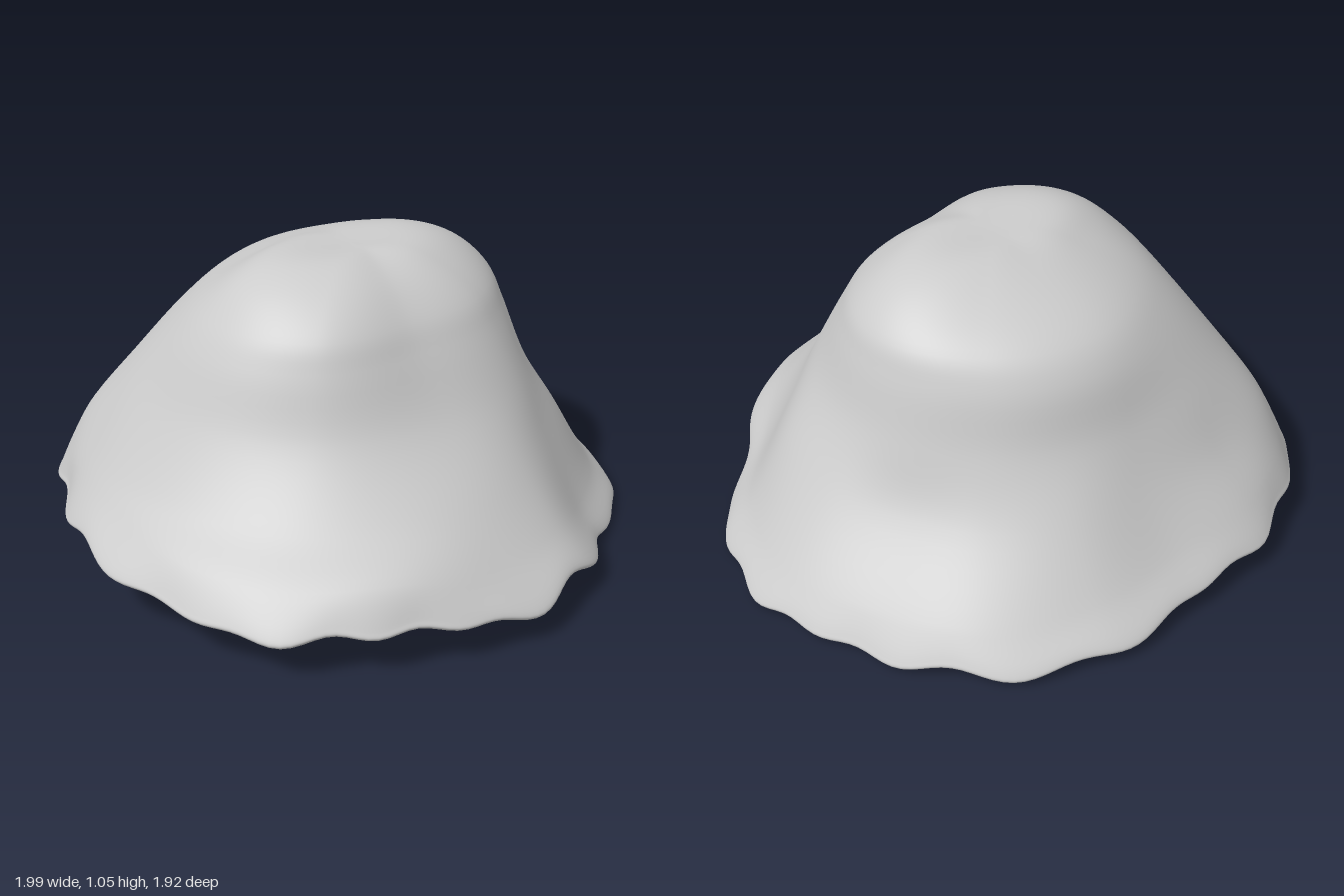
import * as THREE from 'three';
import { mergeVertices } from 'three/addons/utils/BufferGeometryUtils.js';

// Radii by height, at eight compass angles: +x, +x+z, +z, -x+z, -x, -x-z, -z, +x-z
// (rows of sixteen values use half steps of the same circle).
const CROWN = [
  [1.055, [0.26, 0.19, 0.12, 0.20, 0.27, 0.17, 0.11, 0.17]],
  [1.0, [0.41, 0.31, 0.25, 0.35, 0.41, 0.30, 0.29, 0.33]],
  [0.9, [0.52, 0.43, 0.36, 0.47, 0.52, 0.47, 0.49, 0.49]],
  [0.8, [0.56, 0.49, 0.42, 0.52, 0.59, 0.58, 0.57, 0.55]],
  [0.6, [0.62, 0.59, 0.53, 0.60, 0.69, 0.75, 0.64, 0.61]],
  [0.4, [0.73, 0.73, 0.68, 0.69, 0.71, 0.74, 0.77, 0.79, 0.82, 0.86, 0.91, 0.81, 0.73, 0.73, 0.71, 0.69]],
];
const BRIM = [0.91, 0.87, 0.80, 0.82, 0.86, 0.90, 0.93, 0.92, 0.89, 0.92, 0.98, 0.93, 0.85, 0.89, 0.92, 0.90];
// Rim radius and height
const RIM = [0.99, 0.96, 0.88, 0.92, 0.965, 0.96, 1.02, 0.99, 0.99, 0.97, 1.03, 1.0, 0.94, 0.99, 1.0, 0.97];
const RIM_Y = [0.035, 0.025, 0.04, 0.12, 0.12, 0.17, 0.16, 0.17, 0.2, 0.18, 0.15, 0.12, 0.085, 0.055, 0.045, 0.035];

// Smooth periodic interpolation of a row around the circle
function around(row, a) {
  const n = row.length;
  const u = (a / (Math.PI * 2)) * n;
  const i = Math.floor(u);
  const t = u - i;
  const [p, q, r, s] = [-1, 0, 1, 2].map((k) => row[(i + k + n) % n]);
  return q + 0.5 * t * (r - p + t * (2 * p - 5 * q + 4 * r - s + t * (3 * (q - r) + s - p)));
}

// One radial section: crown centre, down the side, round the lip, back under to the centre
function section(a) {
  const points = [];
  const add = (r, y) => points.push(new THREE.Vector3(r * Math.cos(a), y, r * Math.sin(a)));
  const ripple = 0.6 * Math.sin(19 * a + 1.2 * Math.sin(3 * a)) + 0.4 * Math.sin(13 * a + 1);
  const rim = around(RIM, a) + 0.013 * ripple;
  const y = around(RIM_Y, a) - 0.015 * ripple;
  const underside = (r) => 0.107 + r * (0.025 * Math.sin(a) - 0.08 * Math.cos(a));

  add(0, 1.055);
  for (const [h, row] of CROWN) add(around(row, a), h);
  add(around(BRIM, a), around(RIM_Y, a) + 0.12);
  add(rim - 0.008, y + 0.025);
  add(rim, y + 0.005);
  add(rim - 0.02, y - 0.01);
  add(rim - 0.05, y + 0.005);
  for (const f of [0.82, 0.5, 0.25]) add(rim * f, underside(rim * f));
  add(0, underside(0));
  return new THREE.CatmullRomCurve3(points, false, 'centripetal').getPoints(84);
}

export function createModel() {
  const SIDES = 192;
  const vertices = [];
  const index = [];
  let rows = 0;
  for (let i = 0; i < SIDES; i++) {
    const column = section((i / SIDES) * Math.PI * 2);
    rows = column.length;
    for (const p of column) vertices.push(p.x, p.y, p.z);
  }
  for (let i = 0; i < SIDES; i++) {
    const c = i * rows;
    const d = ((i + 1) % SIDES) * rows;
    for (let j = 0; j < rows - 1; j++) {
      if (j > 0) index.push(c + j, d + j, c + j + 1);
      if (j < rows - 2) index.push(d + j, d + j + 1, c + j + 1);
    }
  }
  let geometry = new THREE.BufferGeometry();
  geometry.setAttribute('position', new THREE.Float32BufferAttribute(vertices, 3));
  geometry.setIndex(index);
  geometry = mergeVertices(geometry, 1e-5);

  // Centre and stand on the ground
  geometry.computeBoundingBox();
  const box = geometry.boundingBox;
  const mid = box.getCenter(new THREE.Vector3());
  geometry.translate(-mid.x, -box.min.y, -mid.z);
  geometry.computeVertexNormals();

  const cap = new THREE.Mesh(
    geometry,
    new THREE.MeshStandardMaterial({ color: 0xcccccc })
  );
  cap.name = 'rippledCap';
  const group = new THREE.Group();
  group.name = 'mushroomCap';
  group.add(cap);
  return group;
}
